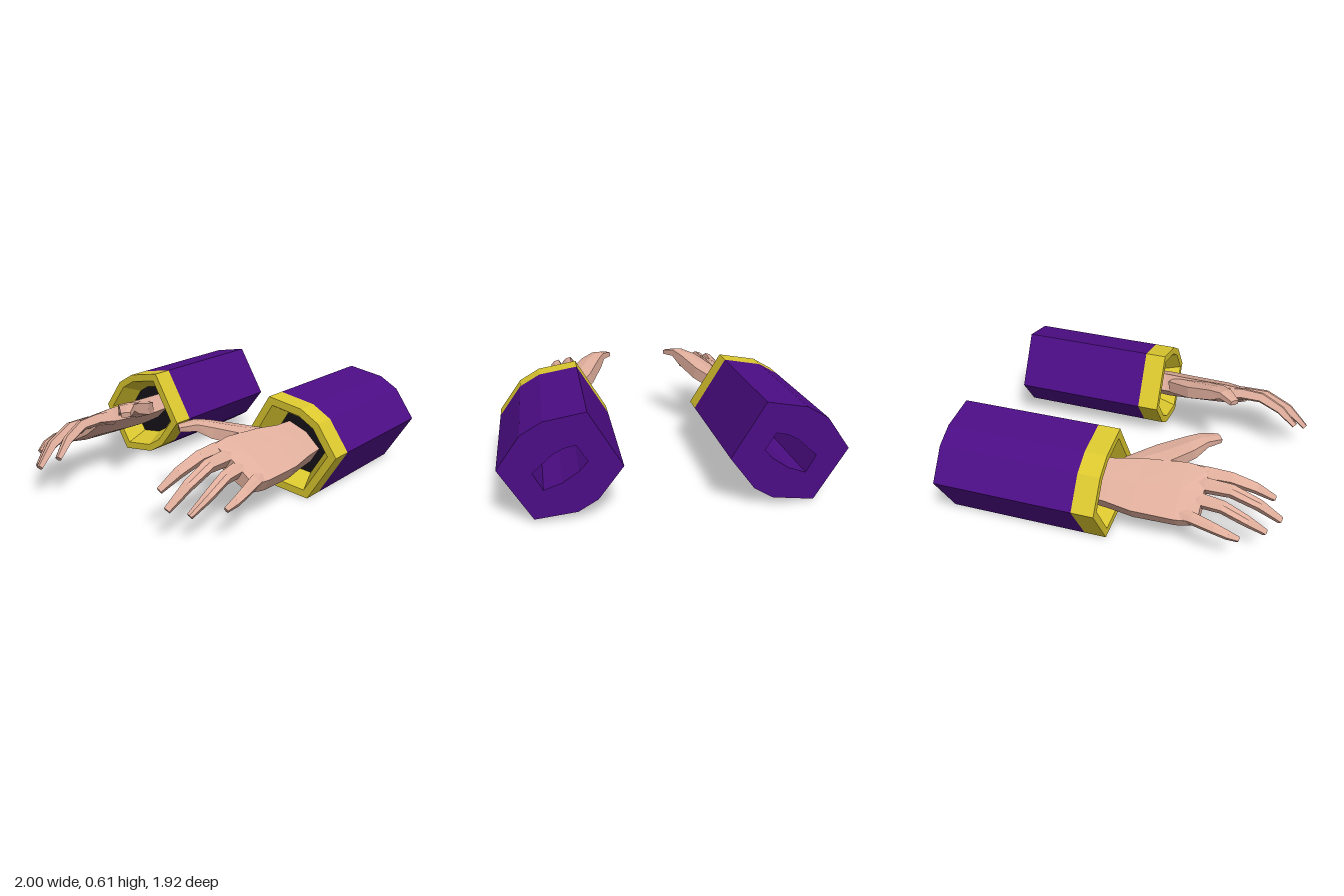
import * as THREE from 'three';

const flat = (name, color) => {
  const m = new THREE.MeshStandardMaterial({ color, flatShading: true });
  m.name = name;
  return m;
};

// Skin a row of rings; each ring runs right-handed about the travel direction.
function loft(name, rings, material, side) {
  const pos = [];
  const tri = (a, b, c) => {
    const area = b.clone().sub(a).cross(c.clone().sub(a)).length();
    if (area < 1e-7) return;
    for (const p of side > 0 ? [a, b, c] : [a, c, b]) pos.push(p.x, p.y, p.z * side);
  };
  for (let i = 0; i < rings.length - 1; i++) {
    const n = rings[i].length;
    for (let j = 0; j < n; j++) {
      const k = (j + 1) % n;
      tri(rings[i][j], rings[i][k], rings[i + 1][k]);
      tri(rings[i][j], rings[i + 1][k], rings[i + 1][j]);
    }
  }
  const g = new THREE.BufferGeometry();
  g.setAttribute('position', new THREE.Float32BufferAttribute(pos, 3));
  g.computeVertexNormals();
  const mesh = new THREE.Mesh(g, material);
  mesh.name = name;
  return mesh;
}

// Ring collapsed to its centre, used to close an end
function centre(ring) {
  const c = new THREE.Vector3();
  ring.forEach((p) => c.add(p));
  c.divideScalar(ring.length);
  return ring.map(() => c.clone());
}
const closed = (rings) => [centre(rings[0]), ...rings, centre(rings[rings.length - 1])];

// Sleeve outlines as [z, y]
const OUTER = [[.48, .61], [.71, .57], [.83, .5], [.96, .315], [.775, .018], [.54, .045], [.43, .11], [.29, .295]];
const HOLE = [[.54, .43], [.61, .415], [.665, .385], [.775, .285], [.72, .185], [.62, .22], [.53, .28], [.48, .335]];
const CZ = 0.625, CY = 0.305;

// Outline at x, scaled about the arm axis; the sleeve rises slightly toward x = 1
const sleeveRing = (pts, x, s = 1) => pts.map(([z, y]) => new THREE.Vector3(
  x, CY + (y - CY) * s - 0.018 * (1 - x), CZ + (z - CZ) * s - 0.01 * (1 - x)));

// The hand is tilted: U points to the thumb side, N out of its back
const U = new THREE.Vector3(0, 0.53, -0.85);
const N = new THREE.Vector3(0, 0.85, 0.53);

// Six-sided section with a ridge above and below
function section(c, s, d, w0, w1, a, t) {
  const m = (w1 - w0) / 2;
  return [[-w0, a], [m, t], [w1, a], [w1, -a], [m, -t], [-w0, -a]]
    .map(([p, q]) => c.clone().addScaledVector(s, p).addScaledVector(d, q));
}

// Finger along a path of [x, y, z, halfWidth, halfThickness]
function digit(name, path, sideDir, material, side) {
  const pts = path.map((p) => new THREE.Vector3(p[0], p[1], p[2]));
  const rings = path.map((p, i) => {
    const t = pts[Math.min(i + 1, pts.length - 1)].clone().sub(pts[Math.max(i - 1, 0)]).normalize();
    const s = sideDir.clone().addScaledVector(t, -sideDir.dot(t)).normalize();
    const d = s.clone().cross(t);
    return section(pts[i], s, d, p[3], p[3], p[4] * 0.75, p[4]);
  });
  return loft(name, closed(rings), material, side);
}

const FINGERS = {
  indexFinger: [[-.42, .375, .475, .042, .045], [-.55, .39, .483, .036, .038], [-.68, .385, .478, .032, .034],
    [-.82, .33, .45, .027, .029], [-.93, .25, .41, .016, .018]],
  middleFinger: [[-.42, .34, .545, .042, .045], [-.55, .36, .553, .038, .04], [-.7, .36, .56, .033, .036],
    [-.86, .29, .55, .028, .03], [-.99, .185, .518, .018, .018]],
  ringFinger: [[-.42, .295, .625, .042, .045], [-.54, .31, .635, .037, .038], [-.67, .305, .65, .032, .034],
    [-.81, .24, .65, .027, .028], [-.92, .155, .615, .016, .018]],
  littleFinger: [[-.42, .25, .71, .038, .042], [-.52, .255, .74, .032, .034], [-.65, .24, .77, .027, .028],
    [-.73, .215, .773, .022, .024], [-.79, .185, .755, .014, .016]],
};
const THUMB = [[-.06, .355, .52, .06, .05], [-.24, .4, .425, .085, .05], [-.4, .455, .335, .068, .045],
  [-.47, .485, .28, .047, .028], [-.545, .472, .215, .03, .018]];

// Palm sections: x, centre z, centre y, width to little finger, width to thumb, edge, ridge
const PALM = [
  [.13, .62, .305, .13, .13, .055, .08],
  [0, .62, .3, .138, .138, .058, .085],
  [-.16, .613, .302, .168, .165, .053, .08],
  [-.42, .61, .305, .172, .188, .046, .07],
  [-.55, .61, .308, .155, .175, .034, .048],
];

export function createModel() {
  const skin = flat('skin', 0xe0ae9c);
  const purple = flat('purple cloth', 0x4c0d85);
  const yellow = flat('yellow trim', 0xdcc82f);
  const dark = flat('dark lining', 0x15131a);
  const model = new THREE.Group();
  model.name = 'pairOfArms';

  for (const side of [1, -1]) {
    const arm = new THREE.Group();
    arm.name = side > 0 ? 'frontArm' : 'backArm';

    // Sleeve with a pocket in its end
    const pocket = sleeveRing(HOLE, 0.15);
    arm.add(loft('sleeve', [sleeveRing(OUTER, 0.135), sleeveRing(OUTER, 1), sleeveRing(HOLE, 1), pocket], purple, side));
    arm.add(loft('pocketFloor', [pocket, centre(pocket)], yellow, side));

    // Cuff: funnel, rim and outer band
    const floor = sleeveRing(OUTER, 0.13, 0.6);
    arm.add(loft('cuffFloor', [centre(floor), floor], dark, side));
    arm.add(loft('cuff', [floor, sleeveRing(OUTER, 0, 0.83), sleeveRing(OUTER, 0), sleeveRing(OUTER, 0.135)], yellow, side));

    // Hand
    const hand = new THREE.Group();
    hand.name = 'hand';
    const palm = PALM.map(([x, z, y, w0, w1, a, t]) => section(new THREE.Vector3(x, y, z), U, N, w0, w1, a, t));
    hand.add(loft('palm', closed(palm), skin, side));
    for (const [name, path] of Object.entries(FINGERS)) hand.add(digit(name, path, U, skin, side));
    hand.add(digit('thumb', THUMB, new THREE.Vector3(0.56, 0.1, -0.82), skin, side));
    arm.add(hand);
    model.add(arm);
  }
  return model;
}
